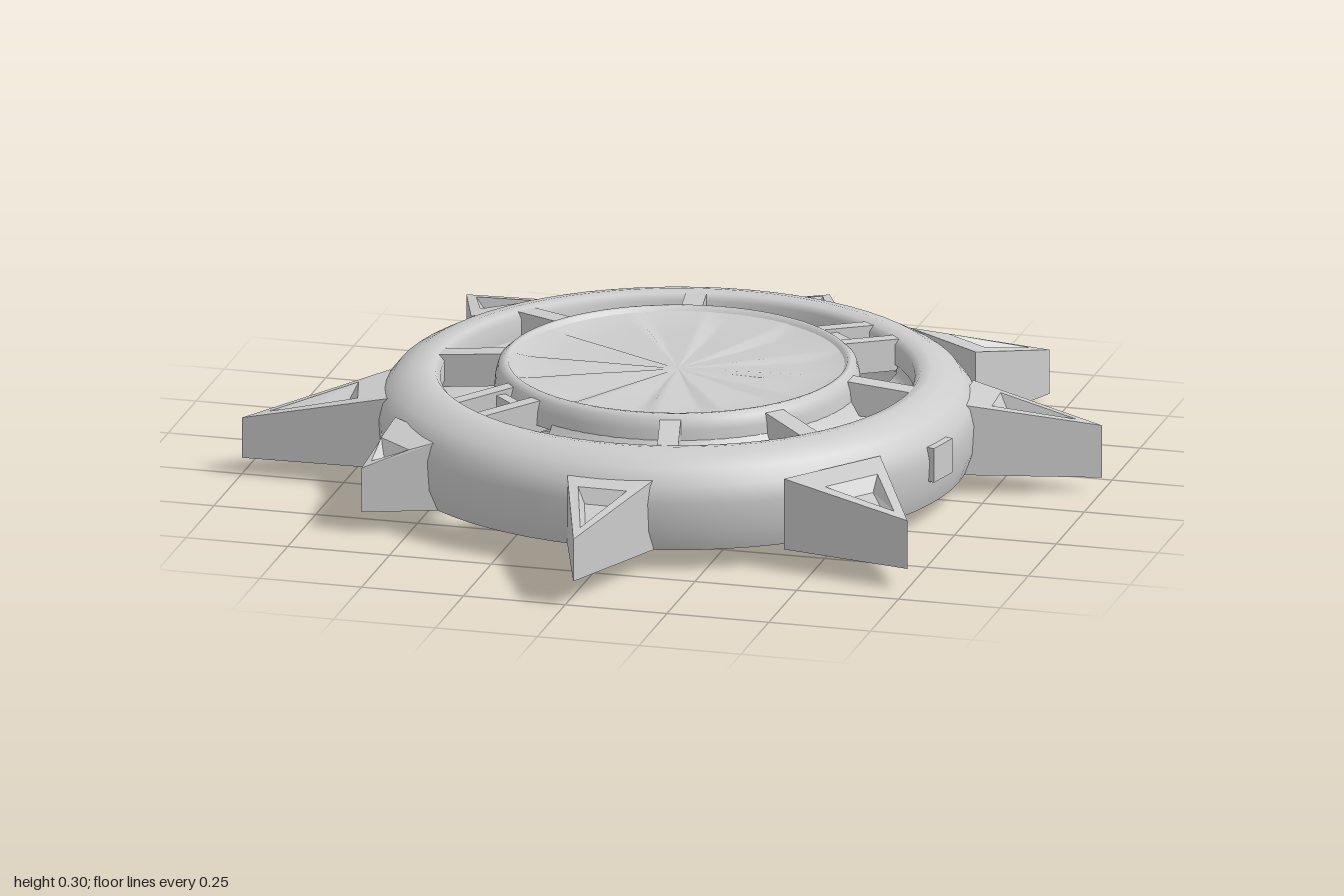
import * as THREE from 'three';

const stone = new THREE.MeshStandardMaterial({ color: 0xcccccc, side: THREE.DoubleSide });
stone.name = 'pale grey';
const RAD = Math.PI / 180;
const CX = 0.005, CZ = 0.012; // wheel centre

function add(parent, name, geometry) {
  const mesh = new THREE.Mesh(geometry, stone);
  mesh.name = name;
  parent.add(mesh);
  return mesh;
}

// Lathe from an outer-to-inner profile, between two angles measured from +x towards +z
function lathe(profile, a0 = 0, a1 = 360, segments = 72) {
  const pts = profile.map(([r, y]) => new THREE.Vector2(r, y));
  return new THREE.LatheGeometry(pts, segments, (90 - a1) * RAD, (a1 - a0) * RAD);
}

// Box set along a radius, tilted down towards the ring
function radialBox(parent, name, angle, r0, r1, width, y0, y1, side = 0, tilt = 0) {
  const a = angle * RAD, r = (r0 + r1) / 2;
  const mesh = add(parent, name, new THREE.BoxGeometry(r1 - r0, y1 - y0, width));
  mesh.position.set(Math.cos(a) * r - Math.sin(a) * side, (y0 + y1) / 2, Math.sin(a) * r + Math.cos(a) * side);
  mesh.rotation.set(0, -a, -tilt, 'YXZ');
  return mesh;
}

// Hollow triangular spike: stacked loops for wall, rim and sunken top
function spikeGeometry(base, tip, half, tipLow, tipHigh) {
  const [bx, bz] = base, [tx, tz] = tip;
  const len = Math.hypot(tx - bx, tz - bz);
  const ux = (tx - bx) / len, uz = (tz - bz) / len;
  const at = (along, across, y) => new THREE.Vector3(bx + ux * along - uz * across, y, bz + uz * along + ux * across);
  const drop = (along) => 0.222 + (tipHigh - 0.222) * along / len;
  const start = 0.045, end = len * 0.8;
  const loops = [
    [at(-0.03, -half * 1.1, 0.05), at(len, 0, tipLow), at(-0.03, half * 1.1, 0.05)],
    [at(-0.03, -half * 1.1, 0.226), at(len, 0, tipHigh), at(-0.03, half * 1.1, 0.226)],
    [at(start, -half * 0.6, drop(start)), at(end, 0, drop(end)), at(start, half * 0.6, drop(start))],
    [at(start + 0.02, -half * 0.38, drop(start) - 0.035), at(end - 0.04, 0, drop(end) - 0.015), at(start + 0.02, half * 0.38, drop(start) - 0.035)],
  ];
  const tris = [];
  for (let i = 0; i < loops.length - 1; i++) {
    for (let j = 0; j < 3; j++) {
      const k = (j + 1) % 3, lo = loops[i], hi = loops[i + 1];
      tris.push(lo[j], hi[j], lo[k], lo[k], hi[j], hi[k]);
    }
  }
  const top = loops[3];
  tris.push(top[0], top[2], top[1]);
  const g = new THREE.BufferGeometry().setFromPoints(tris);
  g.computeVertexNormals();
  return g;
}

// Nearly flat disc with radial pleats, sharp on one side and soft on the other
function discGeometry() {
  const g = lathe([[0.4, 0.288], [0.36, 0.279], [0.3, 0.276], [0.2, 0.275], [0.1, 0.275], [0, 0.275]], 0, 360, 96);
  const p = g.attributes.position;
  for (let i = 0; i < p.count; i++) {
    const x = p.getX(i), z = p.getZ(i), r = Math.min(1, Math.hypot(x, z) / 0.4);
    const fold = ((Math.atan2(z, x) / (2 * Math.PI) + 1) * 12) % 1;
    p.setY(i, p.getY(i) + 0.08 * r * r * (1 - r) * (fold - 0.5));
  }
  g.computeVertexNormals();
  return g;
}

export function createModel() {
  const model = new THREE.Group();
  model.name = 'spikedWheel';
  const wheel = new THREE.Group();
  wheel.name = 'wheel';
  wheel.position.set(CX, 0, CZ);
  model.add(wheel);

  // Outer ring, open below, and hub
  add(wheel, 'outerRing', lathe([[0.69, 0.05], [0.708, 0.1], [0.712, 0.17], [0.703, 0.212], [0.675, 0.247],
    [0.635, 0.269], [0.6, 0.277], [0.575, 0.273], [0.562, 0.258], [0.562, 0.21]]));
  add(wheel, 'hubRim', lathe([[0.435, 0.225], [0.432, 0.262], [0.425, 0.287], [0.412, 0.298], [0.402, 0.297], [0.394, 0.284]]));
  add(wheel, 'pleatedDisc', discGeometry());

  // Spokes, two of them split into open frames
  for (const angle of [0, 42, 77, 178, 216, 259]) {
    radialBox(wheel, 'spoke', angle, 0.405, 0.59, 0.05, 0.2, 0.28, 0, 0.09);
  }
  for (const angle of [135, 313]) {
    for (const side of [-0.06, 0.06]) {
      radialBox(wheel, 'frameRail', angle, 0.4, 0.59, 0.034, 0.2, 0.278, side, 0.09);
    }
    radialBox(wheel, 'frameBar', angle, 0.445, 0.47, 0.12, 0.2, 0.272);
  }

  // Sunken trays sloping up towards the hub; three cover only part of their gap
  for (const [a0, a1] of [[0, 42], [42, 77], [77, 118], [184, 216], [216, 259], [259, 285], [322, 358]]) {
    add(wheel, 'tray', lathe([[0.565, 0.22], [0.56, 0.19], [0.54, 0.17], [0.5, 0.175], [0.455, 0.2], [0.43, 0.245]], a0, a1, 12));
  }

  // Curled flaps hanging below two of the gaps
  for (const [a0, a1] of [[84, 116], [262, 284]]) {
    add(wheel, 'flap', lathe([[0.6, 0.17], [0.55, 0.1], [0.5, 0.07], [0.45, 0.09]], a0, a1, 10));
  }

  // Square studs on the outer wall
  for (const angle of [14, 203, 254, 305]) {
    radialBox(wheel, 'stud', angle, 0.68, 0.722, 0.09, 0.12, 0.205);
  }

  // Spikes: base centre, tip, half width, tip bottom and tip top
  const spikes = [
    [[0.1, -0.69], [0.1, -1], 0.105, 0, 0.145],
    [[0.53, -0.53], [0.7, -0.78], 0.11, 0.02, 0.13],
    [[0.7, -0.14], [1, -0.16], 0.085, 0.035, 0.165],
    [[0.54, 0.51], [0.75, 0.67], 0.13, 0.05, 0.17],
    [[0.025, 0.71], [0.02, 1], 0.1, 0.06, 0.165],
    [[-0.52, 0.49], [-0.61, 0.6], 0.095, 0.05, 0.16],
    [[-0.69, 0.17], [-1, 0.25], 0.1, 0.04, 0.14],
    [[-0.53, -0.49], [-0.71, -0.7], 0.12, 0.05, 0.17],
  ];
  for (const spike of spikes) add(model, 'spike', spikeGeometry(...spike));

  return model;
}
